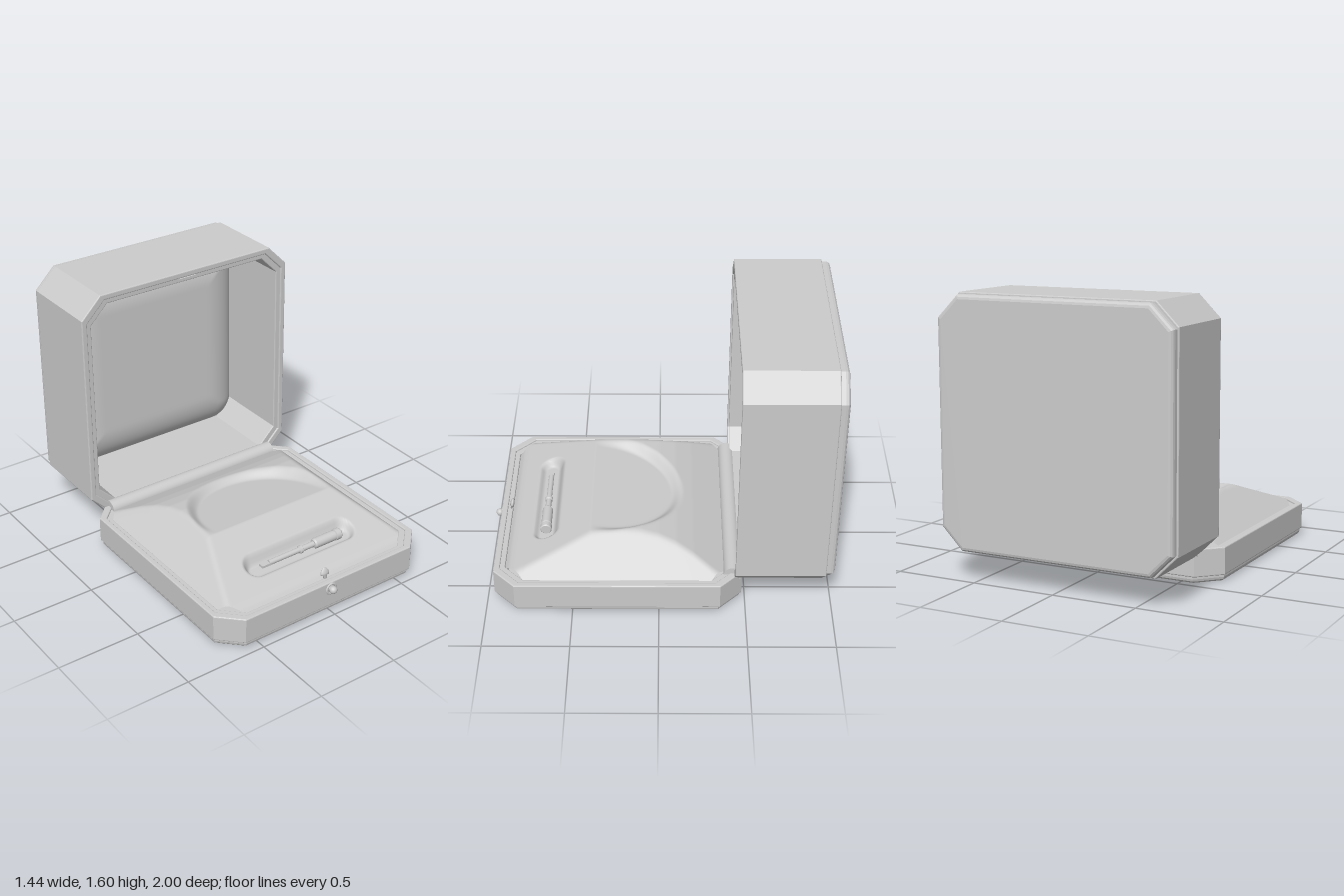
import * as THREE from 'three';

const material = new THREE.MeshStandardMaterial({ color: 0xcccccc, side: THREE.DoubleSide });
const smooth = (t) => THREE.MathUtils.smoothstep(t, 0, 1);

function add(parent, name, geometry, x = 0, y = 0, z = 0) {
  const mesh = new THREE.Mesh(geometry, material);
  mesh.name = name;
  mesh.position.set(x, y, z);
  parent.add(mesh);
  return mesh;
}

// Square with cut corners, h = half size, c = corner cut
function octagon(h, c, Type = THREE.Shape) {
  const k = h - c;
  return new Type([[k, -h], [h, -k], [h, k], [k, h], [-k, h], [-h, k], [-h, -k], [-k, -h]]
    .map(([x, y]) => new THREE.Vector2(x, y)));
}

// Slab or ring from z = 0 to z = depth, with small bevels inside the given outline
function slab(h, c, depth, bevel, hole = 0, holeCut = 0) {
  const shape = octagon(h, c);
  if (hole) shape.holes.push(octagon(hole, holeCut, THREE.Path));
  const geometry = new THREE.ExtrudeGeometry(shape, {
    depth: depth - 2 * bevel, bevelEnabled: true, bevelThickness: bevel,
    bevelSize: bevel, bevelOffset: -bevel, bevelSegments: 3,
  });
  return geometry.translate(0, 0, bevel);
}

// Back plate: narrow at z = 0, full width at z = depth
function plate(h, depth) {
  const geometry = slab(h, 0.128, depth * 2, 0.026);
  const p = geometry.attributes.position;
  for (let i = 0; i < p.count; i++) p.setZ(i, Math.min(p.getZ(i), depth));
  geometry.computeVertexNormals();
  return geometry;
}

// Shell shared by base and lid: plate at the bottom, rim at the top, along z
function shell(parent, depth, floor) {
  add(parent, 'bottomPlate', plate(0.71, floor));
  add(parent, 'outerWall', slab(0.72, 0.128, depth - floor, 0.007, 0.685, 0.12), 0, 0, floor);
  add(parent, 'innerLip', slab(0.692, 0.12, depth - floor - 0.01, 0.006, 0.655, 0.112), 0, 0, floor);
}

// Side profile of the base cushion as [z, y]
const profile = [[-0.42, 0.17], [-0.38, 0.195], [-0.2, 0.293], [-0.1, 0.337], [0, 0.367], [0.1, 0.384],
  [0.22, 0.391], [0.32, 0.387], [0.4, 0.376], [0.6, 0.302], [0.84, 0.215], [0.87, 0.2], [0.9, 0.17]];

function profileHeight(z) {
  for (let i = 1; i < profile.length; i++) {
    const [z0, y0] = profile[i - 1], [z1, y1] = profile[i];
    if (z <= z1) return y0 + (y1 - y0) * (z - z0) / (z1 - z0);
  }
  return profile[profile.length - 1][1];
}

function cushionHeight(x, z) {
  const a = Math.abs(x);
  const side = 0.2 + (0.645 - a) * 0.92;
  let y = profileHeight(z);
  // soft minimum where the top meets the sloping side
  const k = 0.02, m = Math.max(k - Math.abs(y - side), 0) / k;
  y = Math.min(y, side) - m * m * k * 0.25;
  // arched recess whose floor rises to the front ridge
  if (z < 0.4) {
    const r = Math.hypot(x / 0.45, (z - 0.34) / 0.48);
    const t = z > 0.34 ? a / 0.45 : r;
    const floor = 0.376 - (0.4 - z) * 0.17;
    y += (Math.min(floor, y) - y) * smooth((1.02 - t) / 0.17);
  }
  // long slot for the tool
  const d = Math.hypot(Math.max(a - 0.31, 0), z - 0.67);
  y += (0.228 + (0.67 - z) * 0.12 - y) * smooth((0.08 - d) / 0.04);
  return y;
}

function baseCushion() {
  const geometry = new THREE.PlaneGeometry(2, 1.31, 130, 140).rotateX(-Math.PI / 2).translate(0, 0, 0.24);
  const p = geometry.attributes.position;
  for (let i = 0; i < p.count; i++) {
    const z = p.getZ(i);
    const w = Math.min(0.66, 0.66 + 0.54 - Math.abs(z - 0.24));
    const x = p.getX(i) * w;
    p.setXYZ(i, x, cushionHeight(x, z), z);
  }
  geometry.computeVertexNormals();
  return geometry;
}

// Padded panel with rounded edges and corners
function lidCushion() {
  const geometry = new THREE.PlaneGeometry(1.3, 1.3, 80, 80);
  const p = geometry.attributes.position;
  const half = 0.63, r = 0.16;
  for (let i = 0; i < p.count; i++) {
    const qx = Math.abs(p.getX(i)) - half + r, qy = Math.abs(p.getY(i)) - half + r;
    const d = r - Math.hypot(Math.max(qx, 0), Math.max(qy, 0)) - Math.min(Math.max(qx, qy), 0);
    const t = THREE.MathUtils.clamp(d / 0.24, 0, 1);
    p.setZ(i, 0.14 * Math.sqrt(1 - (1 - t) ** 2));
  }
  geometry.computeVertexNormals();
  return geometry;
}

// Lathe that keeps each straight step crisp, turned to lie along x
function turned(points, sides = 28) {
  const doubled = points.flatMap(([r, y]) => [new THREE.Vector2(r, y), new THREE.Vector2(r, y + 1e-4)]);
  return new THREE.LatheGeometry(doubled, sides).rotateZ(-Math.PI / 2);
}

function screwdriver() {
  const g = new THREE.Group();
  g.name = 'screwdriver';
  add(g, 'blade', new THREE.BoxGeometry(0.06, 0.014, 0.036), -0.25);
  add(g, 'shaft', turned([[0, -0.225], [0.016, -0.225], [0.016, -0.01], [0.024, -0.005], [0.024, 0.01],
    [0.017, 0.015], [0.017, 0.1]]));
  add(g, 'handle', turned([[0, 0.095], [0.025, 0.095], [0.031, 0.105], [0.031, 0.24], [0.027, 0.243],
    [0.027, 0.249], [0.034, 0.252], [0.034, 0.284], [0.029, 0.29], [0, 0.29]]));
  return g;
}

export function createModel() {
  const model = new THREE.Group();
  model.name = 'presentationBox';

  // Base, its shell turned to open upwards
  const base = new THREE.Group();
  base.name = 'base';
  const baseShell = new THREE.Group();
  baseShell.name = 'baseShell';
  shell(baseShell, 0.2, 0.04);
  baseShell.rotation.x = -Math.PI / 2;
  baseShell.position.z = 0.24;
  base.add(baseShell);
  add(base, 'baseCushion', baseCushion());
  const tool = screwdriver();
  tool.position.set(0, 0.258, 0.672);
  base.add(tool);
  model.add(base);

  // Lid, standing upright and open to the front
  const lid = new THREE.Group();
  lid.name = 'lid';
  shell(lid, 0.565, 0.05);
  add(lid, 'lidCushion', lidCushion(), 0, 0, 0.07);
  add(lid, 'catchPlate', new THREE.BoxGeometry(0.12, 0.012, 0.02), 0, 0.675, 0.553);
  lid.position.set(0, 0.875, -1);
  model.add(lid);

  // Hinge barrel between base and lid
  const hinge = new THREE.CylinderGeometry(0.052, 0.052, 1.21, 28).rotateZ(Math.PI / 2);
  add(model, 'hinge', hinge, 0, 0.185, -0.425);

  // Push button and catch at the front
  const clasp = new THREE.Group();
  clasp.name = 'clasp';
  add(clasp, 'buttonCollar', new THREE.TorusGeometry(0.031, 0.009, 12, 32), 0, 0.155, 0.957);
  add(clasp, 'buttonStem', new THREE.CylinderGeometry(0.017, 0.022, 0.035, 24).rotateX(Math.PI / 2), 0, 0.155, 0.963);
  add(clasp, 'button', new THREE.SphereGeometry(0.023, 24, 16), 0, 0.155, 0.977);
  const drop = [[0, -0.035], [0.013, -0.033], [0.014, -0.012], [0.028, -0.008], [0.029, 0.004], [0.022, 0.02],
    [0.01, 0.033], [0, 0.036]].map(([r, y]) => new THREE.Vector2(r, y));
  const catchHook = add(clasp, 'catchHook', new THREE.LatheGeometry(drop, 24), 0, 0.225, 0.898);
  catchHook.scale.z = 0.45;
  catchHook.rotation.x = -0.2;
  model.add(clasp);

  return model;
}
